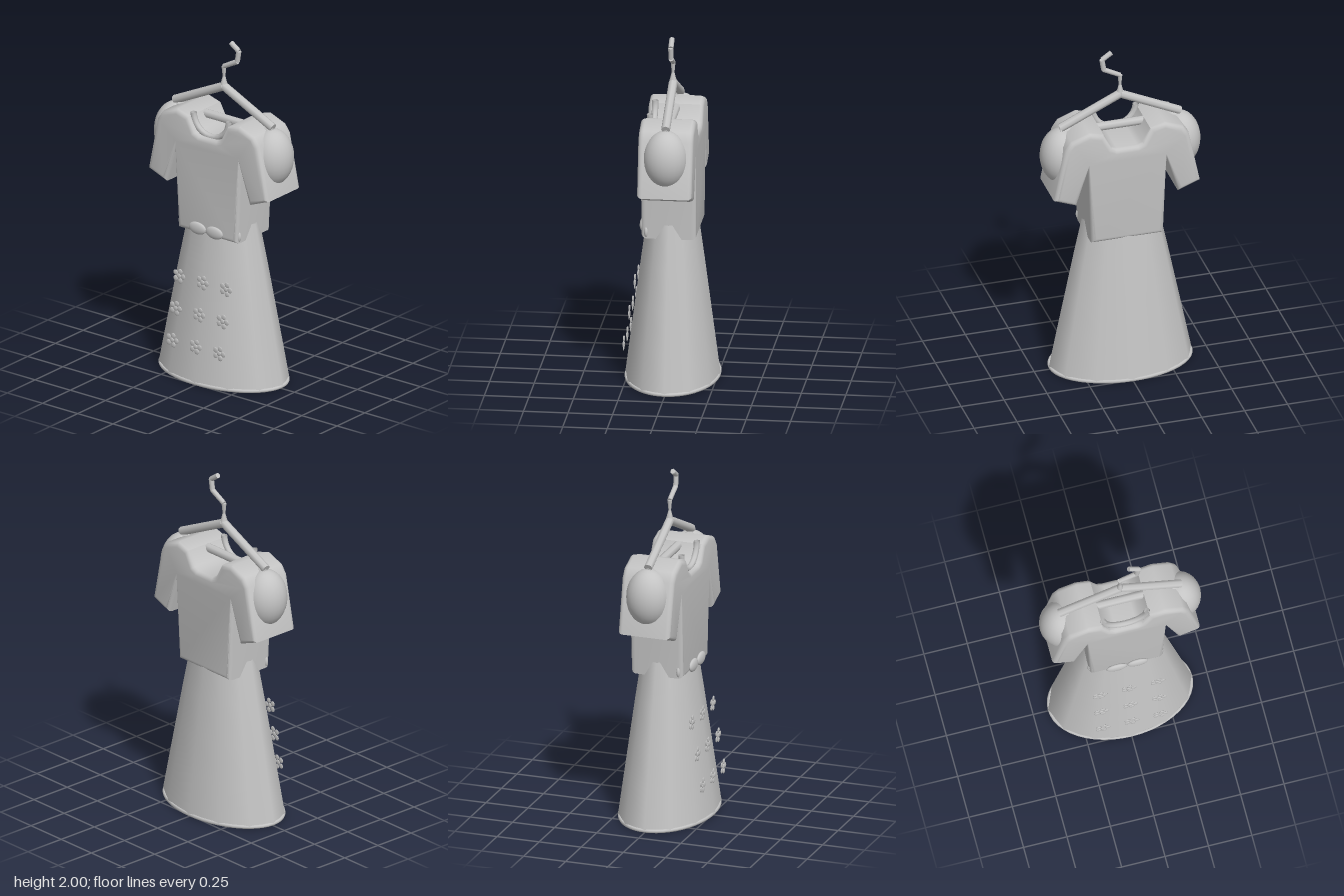
import * as THREE from 'three';
import { toCreasedNormals } from 'three/addons/utils/BufferGeometryUtils.js';

export function createModel() {
  const root = new THREE.Group();
  const grey = new THREE.MeshStandardMaterial({ color: 0xc4c4c4, side: THREE.DoubleSide });
  grey.name = 'pale grey';

  const add = (name, geometry, parent = root) => {
    const mesh = new THREE.Mesh(geometry, grey);
    mesh.name = name;
    parent.add(mesh);
    return mesh;
  };
  const ellipsoid = (name, pos, size, parent, w = 24, h = 16) => {
    const mesh = add(name, new THREE.SphereGeometry(1, w, h), parent);
    mesh.position.set(...pos);
    mesh.scale.set(...size);
    return mesh;
  };
  // Straight rod between two points
  const rod = (name, a, b, r0, r1, sides, parent) => {
    const p = new THREE.Vector3(...a), q = new THREE.Vector3(...b);
    const mesh = add(name, new THREE.CylinderGeometry(r1, r0, p.distanceTo(q), sides), parent);
    mesh.position.copy(p).lerp(q, 0.5);
    mesh.quaternion.setFromUnitVectors(new THREE.Vector3(0, 1, 0), q.sub(p).normalize());
  };

  // Bodice with short sleeves: half outline mirrored, extruded with rounded edges
  const half = [
    [0.21, 0.862], [0.228, 1.34], [0.295, 1.115], [0.425, 1.165],
    [0.36, 1.48], [0.325, 1.53], [0.22, 1.57], [0.135, 1.545], [0.09, 1.46], [0.06, 1.447],
  ];
  const outline = [...half, ...half.map(([x, y]) => [-x, y]).reverse()];
  const bevel = 0.028, depth = 0.31;
  const bodice = new THREE.ExtrudeGeometry(
    new THREE.Shape(outline.map(([x, y]) => new THREE.Vector2(x, y))),
    { depth: depth - 2 * bevel, bevelThickness: bevel, bevelSize: bevel, bevelOffset: -bevel, bevelSegments: 4 });
  bodice.translate(0, 0, bevel - depth / 2);
  add('bodice', toCreasedNormals(bodice, 0.7));

  // Oval twelve-sided skirt, open at both ends
  const profile = [[0.415, 0.012], [0.369, 0.24], [0.322, 0.47], [0.275, 0.7], [0.222, 0.945]];
  const skirt = new THREE.LatheGeometry(profile.map(([r, y]) => new THREE.Vector2(r, y)), 12);
  skirt.scale(1, 1, 0.645);
  add('skirt', skirt);

  // Smooth hem ring
  const hem = new THREE.TorusGeometry(0.405, 0.011, 8, 48);
  hem.rotateX(Math.PI / 2);
  hem.scale(1, 1, 0.645);
  hem.translate(0, 0.011, 0);
  add('hem', hem);

  // Puffed shoulders and small waist ends
  for (const s of [-1, 1]) {
    const side = s > 0 ? 'left' : 'right';
    ellipsoid(side + 'ShoulderPuff', [s * 0.343, 1.375, 0], [0.12, 0.166, 0.126]);
    ellipsoid(side + 'WaistEnd', [s * 0.2, 0.9, 0.127], [0.02, 0.034, 0.013]);
    ellipsoid(side + 'BowLoop', [s * 0.06, 0.898, 0.163], [0.06, 0.036, 0.016]);
  }

  // Collar curve around the front of the neckline
  const collar = new THREE.TorusGeometry(0.125, 0.018, 8, 12, Math.PI);
  collar.rotateZ(Math.PI);
  collar.scale(1, 0.95, 1);
  collar.translate(0, 1.565, 0.115);
  add('collar', collar);

  // Hanger with crossbar and bent hook
  const hanger = new THREE.Group();
  hanger.name = 'hanger';
  root.add(hanger);
  for (const s of [-1, 1]) {
    rod('hangerArm', [0, 1.715, 0], [s * 0.348, 1.55, 0], 0.025, 0.025, 8, hanger);
  }
  rod('hangerBar', [-0.35, 1.522, 0], [0.35, 1.522, 0], 0.025, 0.025, 8, hanger);
  const hook = [[0, 1.72], [0, 1.775], [0, 1.835], [0.095, 1.885], [0.105, 1.95], [0.05, 1.988]];
  const radii = [0.022, 0.008, 0.014, 0.015, 0.015, 0.015];
  for (let i = 0; i < hook.length - 1; i++) {
    rod('hookSegment', [...hook[i], 0], [...hook[i + 1], 0], radii[i], radii[i + 1], 8, hanger);
  }

  // Three rows of five-petal flowers
  [[0.595, 0.195], [0.412, 0.226], [0.23, 0.257]].forEach(([y, z]) => {
    for (const x of [-0.166, 0, 0.166]) {
      const flower = new THREE.Group();
      flower.name = 'flower';
      flower.position.set(x, y, z);
      root.add(flower);
      ellipsoid('flowerCentre', [0, 0, 0], [0.015, 0.015, 0.005], flower, 12, 8);
      for (let i = 0; i < 5; i++) {
        const a = (i * 2 * Math.PI) / 5;
        ellipsoid('petal', [0.029 * Math.cos(a), 0.029 * Math.sin(a), 0], [0.016, 0.016, 0.004], flower, 12, 8);
      }
    }
  });

  return root;
}
